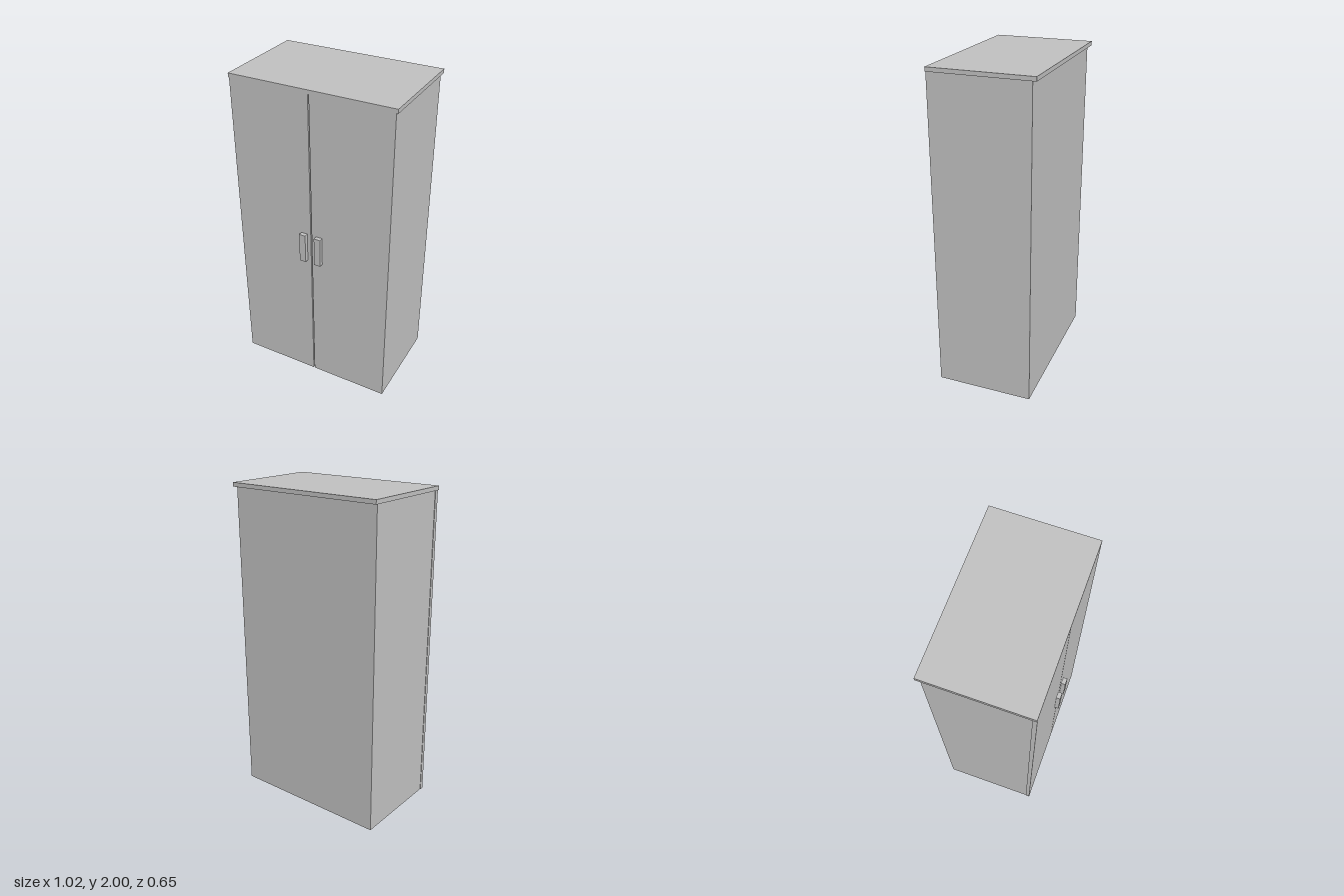
import * as THREE from 'three';

export function createModel() {
  const wardrobe = new THREE.Group();
  wardrobe.name = 'wardrobe';
  const grey = new THREE.MeshStandardMaterial({ color: 0xc0c0c0 });
  grey.name = 'grey';

  // Box given by its lower and upper limits on each axis
  function box(name, [x0, x1], [y0, y1], [z0, z1]) {
    const mesh = new THREE.Mesh(new THREE.BoxGeometry(x1 - x0, y1 - y0, z1 - z0), grey);
    mesh.position.set((x0 + x1) / 2, (y0 + y1) / 2, (z0 + z1) / 2);
    mesh.name = name;
    wardrobe.add(mesh);
  }

  const doorY = [0, 1.975];
  const doorZ = [0.274, 0.299];

  // Carcass and overhanging top board
  box('carcass', [-0.503, 0.503], [0, 1.975], [-0.301, 0.274]);
  box('topBoard', [-0.512, 0.512], [1.975, 2], [-0.325, 0.299]);

  // Two doors with a narrow gap between them
  box('rightDoor', [-0.506, -0.006], doorY, doorZ);
  box('leftDoor', [0.001, 0.503], doorY, doorZ);

  // Upright block handles beside the gap
  box('rightHandle', [-0.071, -0.03], [0.895, 1.085], [0.299, 0.325]);
  box('leftHandle', [0.029, 0.07], [0.895, 1.085], [0.299, 0.325]);

  return wardrobe;
}
